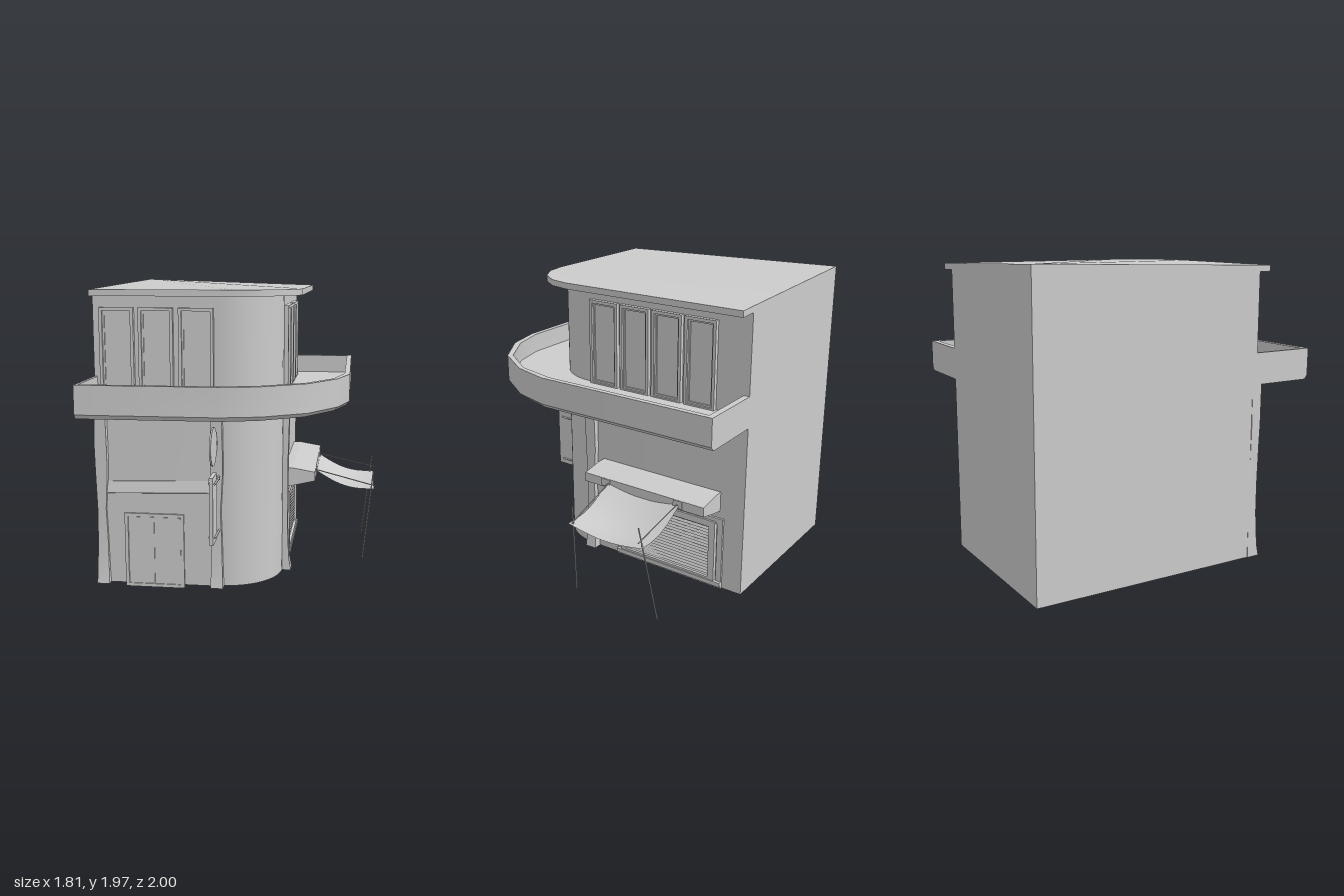
import * as THREE from 'three';
import { toCreasedNormals } from 'three/addons/utils/BufferGeometryUtils.js';

const grey = new THREE.MeshStandardMaterial({ color: 0xcccccc });
const greyDouble = new THREE.MeshStandardMaterial({ color: 0xcccccc, side: THREE.DoubleSide });

function add(parent, name, geometry, material = grey) {
  const mesh = new THREE.Mesh(geometry, material);
  mesh.name = name;
  parent.add(mesh);
  return mesh;
}

function box(parent, name, x0, x1, y0, y1, z0, z1) {
  const mesh = add(parent, name, new THREE.BoxGeometry(x1 - x0, y1 - y0, z1 - z0));
  mesh.position.set((x0 + x1) / 2, (y0 + y1) / 2, (z0 + z1) / 2);
  return mesh;
}

function rod(parent, name, a, b, radius = 0.005) {
  const from = new THREE.Vector3(...a), to = new THREE.Vector3(...b);
  const dir = to.clone().sub(from);
  const mesh = add(parent, name, new THREE.CylinderGeometry(radius, radius, dir.length(), 6));
  mesh.position.copy(from).add(to).multiplyScalar(0.5);
  mesh.quaternion.setFromUnitVectors(new THREE.Vector3(0, 1, 0), dir.normalize());
  return mesh;
}

// Skin over rings of [x, y, z] points running from +x towards +z, with optional end caps
function loft(rings, capped = true) {
  const pos = [];
  const n = rings[0].length;
  for (let k = 0; k < rings.length - 1; k++) {
    for (let i = 0; i < n; i++) {
      const j = (i + 1) % n;
      const a = rings[k][i], b = rings[k][j], A = rings[k + 1][i], B = rings[k + 1][j];
      pos.push(...a, ...A, ...b, ...b, ...A, ...B);
    }
  }
  const cap = (ring, up) => {
    const flat = ring.map(p => new THREE.Vector2(p[0], p[2]));
    for (const [i, j, k] of THREE.ShapeUtils.triangulateShape(flat, [])) {
      const facesDown = THREE.ShapeUtils.area([flat[i], flat[j], flat[k]]) > 0;
      pos.push(...ring[i], ...(facesDown === up ? [...ring[k], ...ring[j]] : [...ring[j], ...ring[k]]));
    }
  };
  if (capped) {
    cap(rings[0], false);
    cap(rings[rings.length - 1], true);
  }
  const g = new THREE.BufferGeometry();
  g.setAttribute('position', new THREE.Float32BufferAttribute(pos, 3));
  return toCreasedNormals(g, 0.6);
}

// Plan with one rounded corner
function plan(x1, z1, rx, rz, steps) {
  const pts = [[-0.9, -1], [x1, -1]];
  for (let i = 0; i <= steps; i++) {
    const t = (i / steps) * Math.PI / 2;
    pts.push([x1 - rx + rx * Math.cos(t), z1 - rz + rz * Math.sin(t)]);
  }
  pts.push([-0.9, z1]);
  return pts;
}

// Rectangular frame with its back on z = 0
function frame(parent, name, x0, x1, y0, y1, t, depth) {
  const rect = (shape, a, b, c, d) => shape.moveTo(a, c).lineTo(b, c).lineTo(b, d).lineTo(a, d).closePath();
  const s = rect(new THREE.Shape(), x0, x1, y0, y1);
  s.holes.push(rect(new THREE.Path(), x0 + t, x1 - t, y0 + t, y1 - t));
  return add(parent, name, new THREE.ExtrudeGeometry(s, { depth, bevelEnabled: false }));
}

function windowUnit(parent, x0, x1) {
  const g = new THREE.Group();
  g.name = 'window';
  frame(g, 'windowFrame', x0, x1, 1.22, 1.795, 0.02, 0.028);
  frame(g, 'windowSash', x0 + 0.02, x1 - 0.02, 1.24, 1.775, 0.012, 0.014);
  box(g, 'windowPane', x0 + 0.03, x1 - 0.03, 1.25, 1.765, -0.01, 0.006);
  parent.add(g);
}

// Crooked pillar: rows of [height, left edge, right edge, depth]
function pillar(parent, x, rows) {
  const rings = rows.map(([y, l, r, d]) => [
    [x + r, y, -0.03], [x + r, y, d], [x + l, y, d], [x + l, y, -0.03]]);
  add(parent, 'pillar', loft(rings));
}
const crooked = [
  [0, -0.04, 0.042, 0.06], [0.08, -0.038, 0.038, 0.045], [0.3, -0.033, 0.033, 0.033],
  [0.5, -0.03, 0.026, 0.035], [0.75, -0.038, 0.04, 0.034], [0.9, -0.04, 0.04, 0.038], [1.17, -0.034, 0.036, 0.044]];

export function createModel() {
  const model = new THREE.Group();

  // Roof, raised at one back corner
  const roofTop = (x, z) => 1.907 + 0.043 * ((0.4 - x) / 1.3) * ((0.65 - z) / 1.65);
  const roofPlan = plan(0.4, 0.65, 0.4, 0.37, 4);
  add(model, 'roof', loft([0.04, 0].map(d => roofPlan.map(([x, z]) => [x, roofTop(x, z) - d, z]))));

  // Walls, open underneath
  const wallPlan = plan(0.275, 0.57, 0.37, 0.37, 12);
  add(model, 'walls', loft([
    wallPlan.map(([x, z]) => [x, 0, z]),
    wallPlan.map(([x, z]) => [x, roofTop(x, z) - 0.035, z])], false), greyDouble);

  // Balcony wrapping the front and right sides
  const seam = [[-0.15, 0.56], [0.13, 0.42], [0.27, 0.15]];
  const outer = [[0.27, -1], [0.71, -1], [0.71, 0.25], [0.64, 0.5], [0.47, 0.76], [0.21, 0.93], [-0.04, 0.992],
    [-0.9, 1], [-0.9, 0.56], ...seam];
  const inner = [[0.27, -0.96], [0.675, -0.96], [0.675, 0.22], [0.61, 0.49], [0.447, 0.73], [0.195, 0.89],
    [-0.04, 0.955], [-0.88, 0.96], [-0.88, 0.56], ...seam];
  const under = outer.map(([x, z], i) => (i > 1 && i < 8 ? [x - (x > 0 ? 0.025 : 0), z - (z > 0.4 ? 0.02 : 0)] : [x, z]));
  under[1] = [0.685, -1];
  const at = (pts, y) => pts.map(([x, z]) => [x, y, z]);
  add(model, 'balcony', loft([at(under, 1.155), at(outer, 1.182), at(outer, 1.36), at(inner, 1.36), at(inner, 1.23)]));

  // Front and right faces: local z points out of the wall
  const front = new THREE.Group();
  front.name = 'frontFace';
  front.position.z = 0.57;
  const side = new THREE.Group();
  side.name = 'rightFace';
  side.position.x = 0.275;
  side.rotation.y = Math.PI / 2;
  model.add(front, side);

  // Upper windows
  for (const x of [-0.855, -0.605, -0.35]) windowUnit(front, x, x + 0.22);
  for (let i = 0; i < 4; i++) windowUnit(side, -0.175 + i * 0.243, 0.045 + i * 0.243);

  // Pillars
  pillar(front, -0.865, crooked);
  pillar(front, -0.115, crooked);
  pillar(side, -0.18, crooked);

  // Front entrance
  const thick = [[0, 0.015], [0.6, 0.015], [0.605, 0.025], [0.68, 0.006]];
  add(front, 'entranceWall', loft(thick.map(([y, d], i) => {
    const rise = i ? 0.02 : 0;
    return [[-0.13, y + rise, -0.02], [-0.13, y + rise, d], [-0.85, y, d], [-0.85, y, -0.02]];
  })));
  frame(front, 'doorFrame', -0.72, -0.33, -0.02, 0.475, 0.022, 0.028).scale.y = 1;
  for (const x of [-0.696, -0.523]) box(front, 'doorLeaf', x, x + 0.169, 0, 0.45, 0, 0.021);

  // Shuttered opening on the right side
  frame(side, 'shutterSurround', 0.035, 0.86, 0, 0.505, 0.04, 0.015);
  frame(side, 'shutterFrame', 0.07, 0.81, 0.02, 0.48, 0.045, 0.028);
  box(side, 'shutterSill', 0.035, 0.86, 0.02, 0.05, 0, 0.035);
  box(side, 'shutterBack', 0.1, 0.78, 0.04, 0.45, -0.01, 0.004);
  for (let i = 0; i < 18; i++) {
    const y = 0.056 + i * 0.0215;
    box(side, 'shutterSlat', 0.115, 0.765, y, y + 0.018, 0.004, 0.01).rotation.x = -0.45;
  }

  // Canopy over the shutter
  const profile = new THREE.Shape([[0.26, 0.555], [0.315, 0.56], [0.485, 0.6], [0.485, 0.662], [0.33, 0.688], [0.26, 0.688]]
    .map(p => new THREE.Vector2(...p)));
  add(model, 'canopy', new THREE.ExtrudeGeometry(profile, { depth: 0.92, bevelEnabled: false })).position.z = -0.83;

  // Sagging cloth awning with its poles
  const cloth = new THREE.PlaneGeometry(1, 1, 12, 12);
  const p = cloth.attributes.position;
  for (let i = 0; i < p.count; i++) {
    const u = p.getX(i) + 0.5, v = p.getY(i) + 0.5;
    p.setXYZ(i, 0.48 + 0.415 * u,
      0.637 - 0.125 * u - 0.045 * Math.sin(Math.PI * u) - 0.036 * Math.sin(Math.PI * v),
      -0.09 - 0.565 * v);
  }
  cloth.computeVertexNormals();
  add(model, 'awningCloth', cloth, greyDouble);
  rod(model, 'awningPole', [0.882, 0.635, -0.62], [0.815, 0, -0.715]);
  rod(model, 'awningPole', [0.885, 0.63, -0.12], [0.82, 0, -0.085]);
  rod(model, 'awningArm', [0.48, 0.637, -0.64], [0.905, 0.548, -0.635], 0.004);
  rod(model, 'awningArm', [0.48, 0.637, -0.105], [0.9, 0.525, -0.125], 0.004);
  for (const z of [-0.115, -0.675]) box(model, 'awningBracket', 0.48, 0.492, 0.61, 0.66, z, z + 0.065);

  // Hanging signs on the middle pillar
  const disc = add(model, 'roundSign', new THREE.CylinderGeometry(0.12, 0.12, 0.01, 32));
  disc.rotation.z = Math.PI / 2;
  disc.position.set(-0.112, 0.957, 0.737);
  box(model, 'roundSignMount', -0.12, -0.104, 0.945, 0.97, 0.59, 0.63);
  box(model, 'panelSign', -0.128, -0.104, 0.345, 0.775, 0.655, 0.81);
  for (const y of [0.728, 0.385]) {
    rod(model, 'signBracket', [-0.098, y, 0.59], [-0.098, y, 0.77], 0.007);
    rod(model, 'signBracket', [-0.134, y, 0.59], [-0.134, y, 0.77], 0.007);
  }
  box(model, 'signBracketPlate', -0.145, -0.09, 0.72, 0.74, 0.59, 0.62);
  return model;
}
